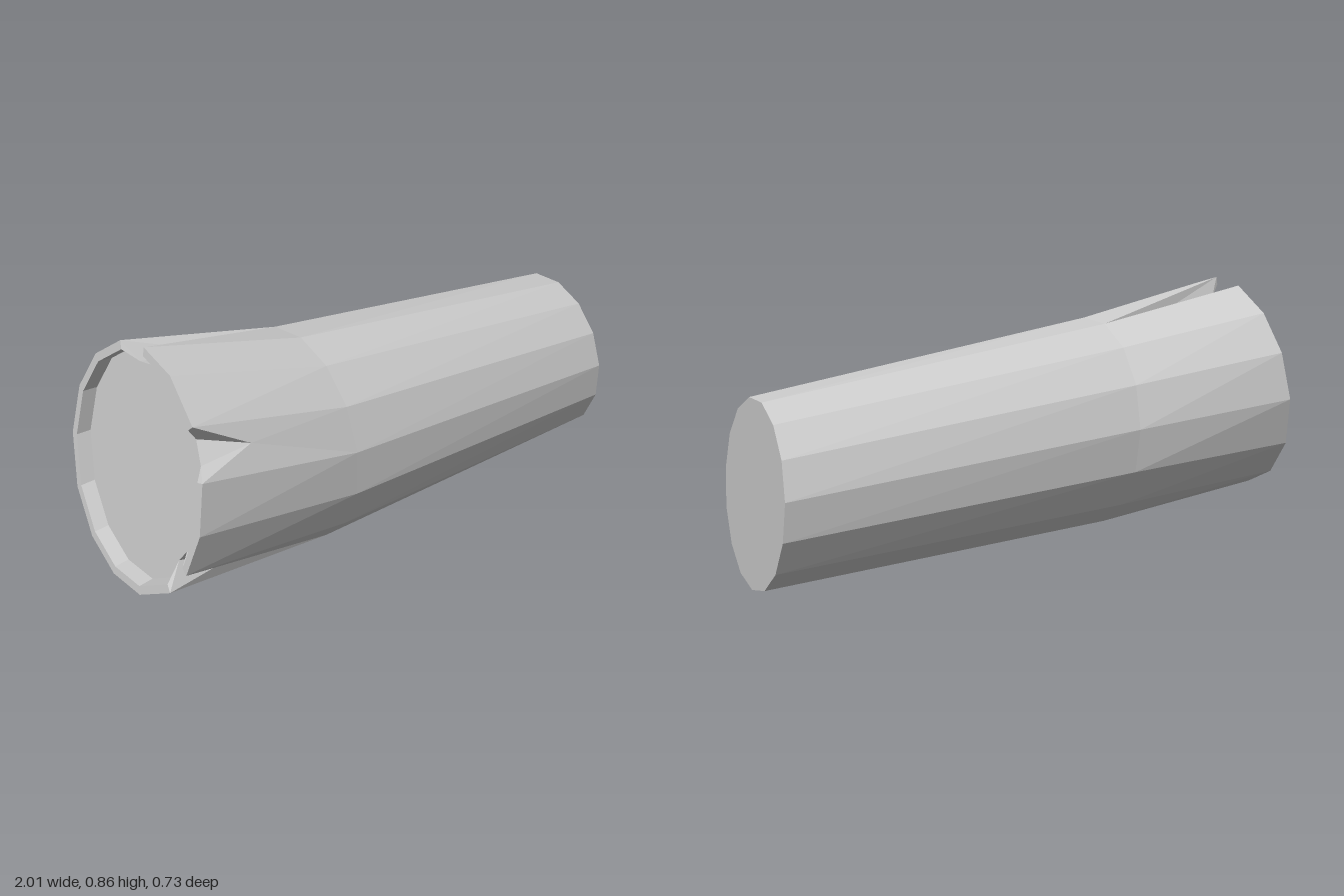
import * as THREE from 'three';

const N = 15;
const V = (x, y, z) => new THREE.Vector3(x, y, z);
const mix = (a, b, t) => a.clone().lerp(b, t);

// Ring of points on a tilted plane: x shifts with y and z; angle runs from +z towards +y
function ring(c, ry, rz, tiltY, tiltZ, angles, s = 1) {
  return angles.map((deg) => {
    const a = THREE.MathUtils.degToRad(deg);
    const dy = ry * s * Math.sin(a), dz = rz * s * Math.cos(a);
    return V(c.x + tiltY * dy + tiltZ * dz, c.y + dy, c.z + dz);
  });
}

// Mesh from convex polygons, each cut into a fan of triangles
function facetMesh(name, polygons) {
  const points = [];
  for (const p of polygons)
    for (let i = 1; i < p.length - 1; i++) points.push(p[0], p[i], p[i + 1]);
  const geometry = new THREE.BufferGeometry().setFromPoints(points);
  geometry.computeVertexNormals();
  const material = new THREE.MeshStandardMaterial({
    color: 0xcccccc, flatShading: true, side: THREE.DoubleSide,
  });
  const mesh = new THREE.Mesh(geometry, material);
  mesh.name = name;
  return mesh;
}

export function createModel() {
  const group = new THREE.Group();
  group.name = 'notchedSleeve';

  const even = (start) => Array.from({ length: N }, (_, i) => start + 24 * (i - 4));
  const wideAngles = [15, 39, 65, 88.5, 109, 134, 158, 183, 209, 234, 258, 282, 310, 328, 351];
  const wideRing = (s, push = 0) =>
    ring(V(-0.935 + push, 0.485, 0), 0.38, 0.366, 0.15, -0.12, wideAngles, s);

  const small = ring(V(0.963, 0.297, 0.035), 0.297, 0.276, -0.05, -0.127, even(102));
  const middle = ring(V(-0.31, 0.395, 0.025), 0.357, 0.322, -0.03, -0.1, even(105));
  const rim = wideRing(1);
  const inner = wideRing(0.93);
  const seat = wideRing(0.92, 0.05);
  const deep = wideRing(0.81, 0.05);
  const capCentre = V(-0.885, 0.485, 0);

  // Notches: facet index, tip position across (u) and along (v) the facet
  const notches = { 0: { u: 0.57, v: 0.33 }, 3: { u: 1, v: 1 }, 12: { u: 0, v: 1 } };

  const shell = [], lip = [], cap = [], cuts = [];
  for (let i = 0; i < N; i++) {
    const j = (i + 1) % N;
    shell.push([middle[i], small[i], small[j], middle[j]]);
    const notch = notches[i];
    if (!notch) {
      shell.push([rim[i], middle[i], middle[j], rim[j]]);
      lip.push([rim[i], rim[j], inner[j], inner[i]], [inner[i], inner[j], seat[j], seat[i]]);
      cap.push([capCentre, seat[i], seat[j]]);
      continue;
    }
    // Skin left around the notch
    const { u, v } = notch;
    const tip = mix(mix(rim[i], middle[i], v), mix(rim[j], middle[j], v), u);
    shell.push([rim[i], middle[i], tip], [middle[i], middle[j], tip], [tip, middle[j], rim[j]]);

    // Sunken floor and its two side walls
    const fi = mix(deep[i], deep[j], 0.2), fj = mix(deep[i], deep[j], 0.8);
    let root = tip;
    if (v === 1) {
      root = mix(mix(rim[i], middle[i], 0.45), mix(rim[j], middle[j], 0.45), 0.5);
      root.lerp(V(root.x, 0.44, 0.01), 0.1);
    }
    cuts.push([fi, root, fj]);
    for (const [k, f] of [[i, fi], [j, fj]]) {
      cuts.push([f, seat[k], inner[k], rim[k]], [f, rim[k], root], [rim[k], tip, root]);
    }
    cap.push([capCentre, seat[i], fi], [capCentre, fi, fj], [capCentre, fj, seat[j]]);
  }

  const endCentre = V(0.963, 0.297, 0.035);
  const end = small.map((p, i) => [endCentre, small[(i + 1) % N], p]);

  group.add(
    facetMesh('outerShell', shell),
    facetMesh('rimLip', lip),
    facetMesh('recessedCap', cap),
    facetMesh('notchWalls', cuts),
    facetMesh('narrowEnd', end),
  );
  return group;
}
